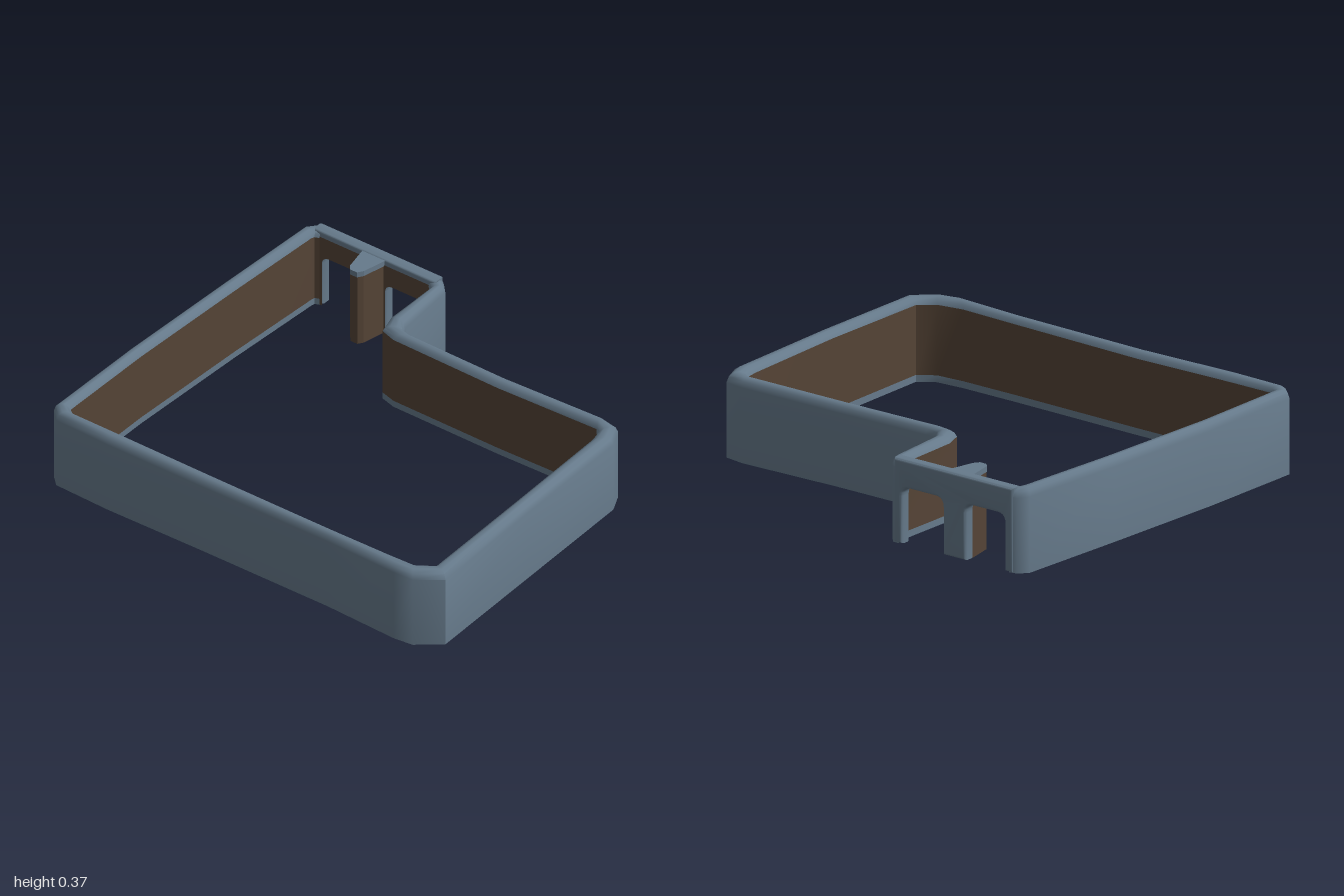
import * as THREE from 'three';
import { toCreasedNormals } from 'three/addons/utils/BufferGeometryUtils.js';

const slate = new THREE.MeshStandardMaterial({ color: 0x667a8b });
slate.name = 'slate blue';
const brown = new THREE.MeshStandardMaterial({ color: 0x554436 });
brown.name = 'dark brown';

// Plan of the enclosure: [outer x, outer z, inner x, inner z, rim height offset]
const plan = [
  [0.867, -0.30, 0.815, -0.32, 0],
  [0.867, -0.27, 0.812, -0.31, 0],
  [0.83, -0.235, 0.79, -0.285, -0.005],
  [0.53, -0.21, 0.52, -0.285, 0],
  [0.485, -0.18, 0.44, -0.26, 0.003],
  [0.475, -0.12, 0.42, -0.19, 0],
  [0.475, 0.35, 0.415, 0.35, -0.005],
  [0.49, 0.83, 0.425, 0.85, 0],
  [0.475, 0.925, 0.39, 0.88, 0],
  [0.39, 0.965, 0.33, 0.89, 0],
  [-0.20, 0.98, -0.20, 0.91, 0.003],
  [-0.78, 0.995, -0.75, 0.92, -0.003],
  [-0.865, 0.89, -0.80, 0.85, 0],
  [-0.875, 0.80, -0.81, 0.72, 0.005],
  [-0.86, 0.45, -0.81, 0.45, 0],
  [-0.86, -0.20, -0.80, -0.20, -0.005],
  [-0.865, -0.68, -0.80, -0.68, 0],
  [-0.855, -0.95, -0.80, -0.90, 0],
  [-0.81, -0.997, -0.775, -0.937, 0.003],
  [-0.30, -0.997, -0.30, -0.938, 0],
  [0.30, -0.975, 0.30, -0.915, 0],
  [0.82, -0.95, 0.78, -0.888, 0.003],
  [0.86, -0.915, 0.80, -0.885, 0],
  [0.867, -0.88, 0.807, -0.865, 0],
];

// Sweeps a strip of the wall section; each profile point is [fraction outer to inner, y]
function sweep(profile) {
  const pos = [], index = [], n = profile.length;
  plan.forEach(([ox, oz, ix, iz, dy], i) => {
    profile.forEach(([t, y], j) => {
      pos.push(ox + (ix - ox) * t, y > 0.2 ? y + dy : y, oz + (iz - oz) * t);
      if (i < plan.length - 1 && j < n - 1) {
        const a = i * n + j, c = a + n;
        index.push(a, a + 1, c, a + 1, c + 1, c);
      }
    });
  });
  const g = new THREE.BufferGeometry();
  g.setAttribute('position', new THREE.Float32BufferAttribute(pos, 3));
  g.setIndex(index);
  return toCreasedNormals(g, 0.9);
}

// Doorway wall outline in (z, y), with two round-cornered openings
function doorwayShape(top) {
  const s = new THREE.Shape();
  s.moveTo(-0.90, 0);
  for (const [z0, z1] of [[-0.855, -0.65], [-0.53, -0.315]]) {
    s.lineTo(z0, 0);
    s.lineTo(z0, 0.205);
    s.quadraticCurveTo(z0, 0.245, z0 + 0.04, 0.245);
    s.lineTo(z1 - 0.04, 0.245);
    s.quadraticCurveTo(z1, 0.245, z1, 0.205);
    s.lineTo(z1, 0);
  }
  s.lineTo(-0.272, 0);
  s.lineTo(-0.272, top);
  s.lineTo(-0.90, top);
  s.closePath();
  return s;
}

// Short partition plan, slightly tapered toward its free end
function partition(y0, y1, grow) {
  const s = new THREE.Shape([
    [0.82, 0.535 - grow], [0.705, 0.56 - grow], [0.682 - grow, 0.575],
    [0.682 - grow, 0.61], [0.70, 0.625 + grow], [0.82, 0.65 + grow],
  ].map(([x, z]) => new THREE.Vector2(x, z)));
  const g = new THREE.ExtrudeGeometry(s, { depth: y1 - y0, bevelEnabled: false });
  return g.rotateX(-Math.PI / 2).translate(0, y0, 0);
}

export function createModel() {
  const model = new THREE.Group();
  model.name = 'walledEnclosure';
  const add = (name, geometry, material) => {
    const m = new THREE.Mesh(geometry, material);
    m.name = name;
    model.add(m);
  };

  // Perimeter wall with rounded rim, brown lining and plain base
  add('outerWallAndRim', sweep([[0, 0], [0, 0.325], [0.12, 0.35], [0.35, 0.363],
    [0.65, 0.363], [0.88, 0.352], [1, 0.335]]), slate);
  add('innerWall', sweep([[1, 0.335], [1, 0.03]]), brown);
  add('wallBase', sweep([[1, 0.03], [1, 0], [0, 0]]), slate);

  // Wall with two doorways, lined on the inside
  const wall = new THREE.ExtrudeGeometry(doorwayShape(0.366), {
    depth: 0.026, bevelThickness: 0.015, bevelSize: 0.012, bevelOffset: -0.012,
    bevelSegments: 3, curveSegments: 5,
  });
  wall.rotateY(-Math.PI / 2).translate(0.854, 0, 0);
  add('doorwayWall', toCreasedNormals(wall, 0.7), slate);
  const lining = new THREE.ShapeGeometry(doorwayShape(0.34), 5);
  lining.rotateY(-Math.PI / 2).translate(0.81, 0, 0);
  add('doorwayLining', lining, brown);

  // Partition between the doorways
  add('partition', partition(0, 0.335, 0), brown);
  add('partitionCap', partition(0.335, 0.36, 0.002), slate);

  return model;
}
